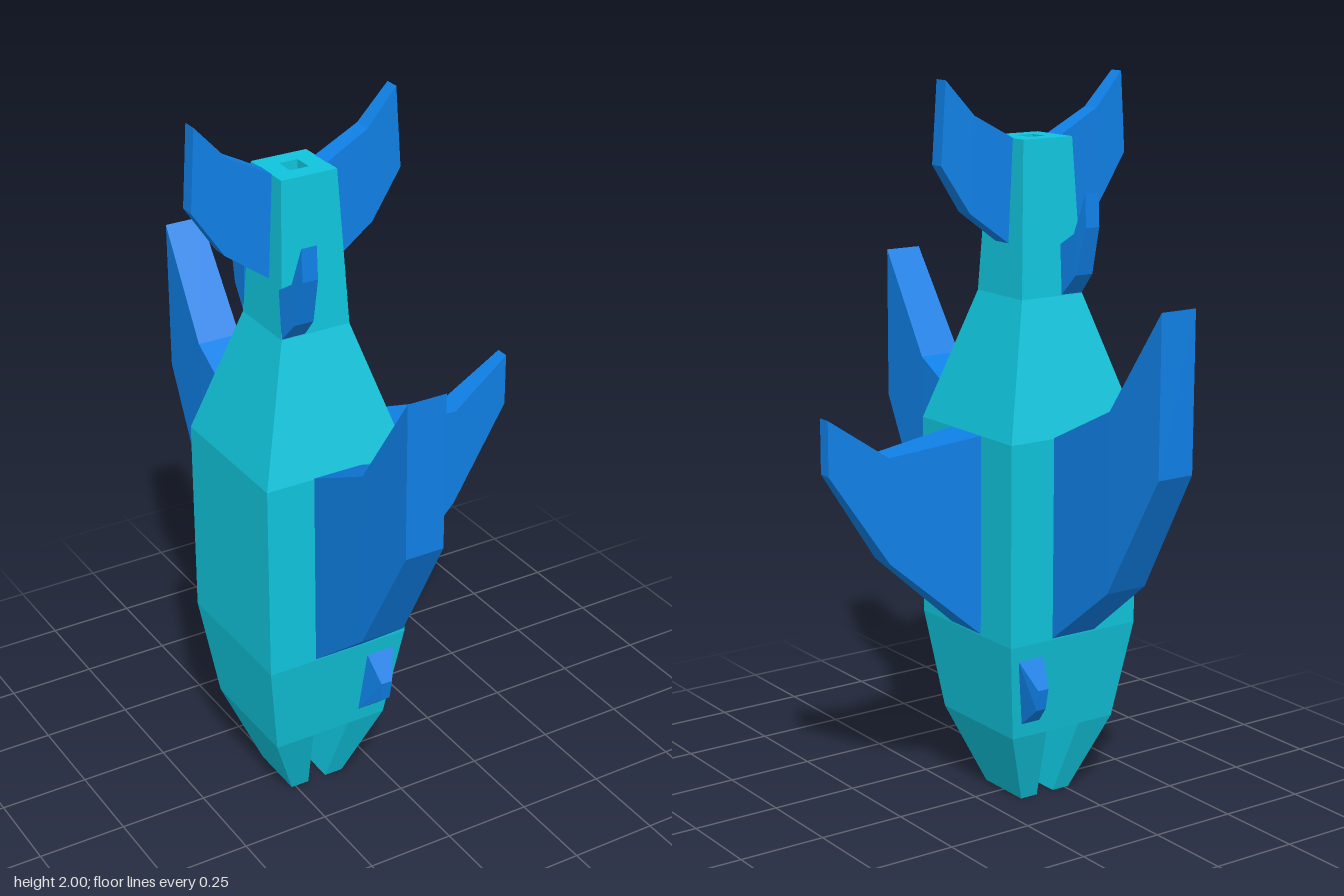
import * as THREE from 'three';

const CX = -0.18; // body axis
const teal = new THREE.MeshStandardMaterial({ color: 0x10c4dc, flatShading: true });
const blue = new THREE.MeshStandardMaterial({ color: 0x0f80e6, flatShading: true });

// Skin a list of four-cornered sections into a closed, faceted solid.
function loft(name, sections, material) {
  const tris = [];
  const quad = (a, b, c, d) => tris.push([a, b, c], [a, c, d]);
  for (let i = 0; i < sections.length - 1; i++) {
    const s = sections[i], t = sections[i + 1];
    for (let k = 0; k < 4; k++) {
      const n = (k + 1) % 4;
      quad(s[k], s[n], t[n], t[k]);
    }
  }
  const last = sections[sections.length - 1];
  quad(...[...sections[0]].reverse());
  quad(...last);

  // Turn the faces outward, whichever way the sections run.
  const v = (p) => new THREE.Vector3(...p);
  let volume = 0;
  for (const [a, b, c] of tris) volume += v(a).dot(v(b).cross(v(c)));
  if (volume < 0) tris.forEach((t) => t.reverse());

  const geometry = new THREE.BufferGeometry();
  geometry.setAttribute('position', new THREE.Float32BufferAttribute(tris.flat(2), 3));
  geometry.computeVertexNormals();
  const mesh = new THREE.Mesh(geometry, material);
  mesh.name = name;
  return mesh;
}

// Horizontal rectangle at height y.
const rect = (x0, x1, y, hz) => [[x0, y, -hz], [x1, y, -hz], [x1, y, hz], [x0, y, hz]];
const square = (y, hx, hz) => rect(CX - hx, CX + hx, y, hz);

// Fin rows: [top reach, top y, bottom reach, bottom y, half thickness].
// 'place' maps (reach, y, thickness offset) to a point.
const fin = (name, rows, place) => loft(name, rows.map(([ot, yt, ob, yb, h]) => [
  place(ot, yt, -h), place(ot, yt, h), place(ob, yb, h), place(ob, yb, -h),
]), blue);

export function createModel() {
  const model = new THREE.Group();
  model.name = 'fish';

  // Body, with a small square recess sunk into the tail end
  model.add(loft('body', [
    square(0.22, 0.17, 0.165), square(0.5, 0.21, 0.21), square(1.06, 0.21, 0.21),
    square(1.42, 0.1, 0.102), square(1.84, 0.08, 0.077),
    square(1.84, 0.027, 0.028), square(1.79, 0.027, 0.028),
  ], teal));

  // Dorsal fin
  model.add(fin('dorsalFin', [
    [0.025, 1.06, 0.025, 0.5, 0.07], [0.3, 1.03, 0.3, 0.74, 0.037], [0.475, 1.15, 0.475, 1.0, 0.019],
  ], (o, y, t) => [o, y, t]));

  for (const s of [1, -1]) {
    const side = s > 0 ? 'left' : 'right';
    const front = s > 0 ? 'front' : 'back';

    // Jaws
    const jaw = (y, inner, outer, hz) => rect(CX + s * inner, CX + s * outer, y, hz);
    model.add(loft(side + 'Jaw', [jaw(0, 0.028, 0.082, 0.085), jaw(0.22, 0.055, 0.17, 0.165)], teal));

    // Tail flukes
    model.add(fin(side + 'TailFluke', [
      [0.078, 1.84, 0.09, 1.56, 0.03], [0.2, 1.905, 0.215, 1.65, 0.026], [0.287, 2.0, 0.302, 1.78, 0.021],
    ], (o, y, t) => [CX + s * o, y, t]));

    // Large side fins
    model.add(fin(front + 'SideFin', [
      [0.205, 1.06, 0.205, 0.5, 0.071], [0.435, 1.175, 0.435, 0.685, 0.063], [0.627, 1.46, 0.627, 1.03, 0.055],
    ], (o, y, t) => [CX + t, y, s * o]));

    // Small rear fins
    model.add(fin(front + 'RearFin', [
      [0.09, 1.555, 0.1, 1.42, 0.034], [0.145, 1.59, 0.155, 1.48, 0.028], [0.185, 1.7, 0.19, 1.61, 0.022],
    ], (o, y, t) => [-0.245 + t, y, s * o]));

    // Eyes: faceted wedges beside the jaws
    model.add(loft(front + 'Eye', [
      [[-0.085, 0.46, s * 0.2], [0, 0.46, s * 0.2], [-0.035, 0.26, s * 0.17], [-0.095, 0.26, s * 0.17]],
      [[-0.067, 0.38, s * 0.25], [-0.033, 0.38, s * 0.25], [-0.035, 0.32, s * 0.24], [-0.065, 0.32, s * 0.24]],
    ], blue));
  }
  return model;
}
